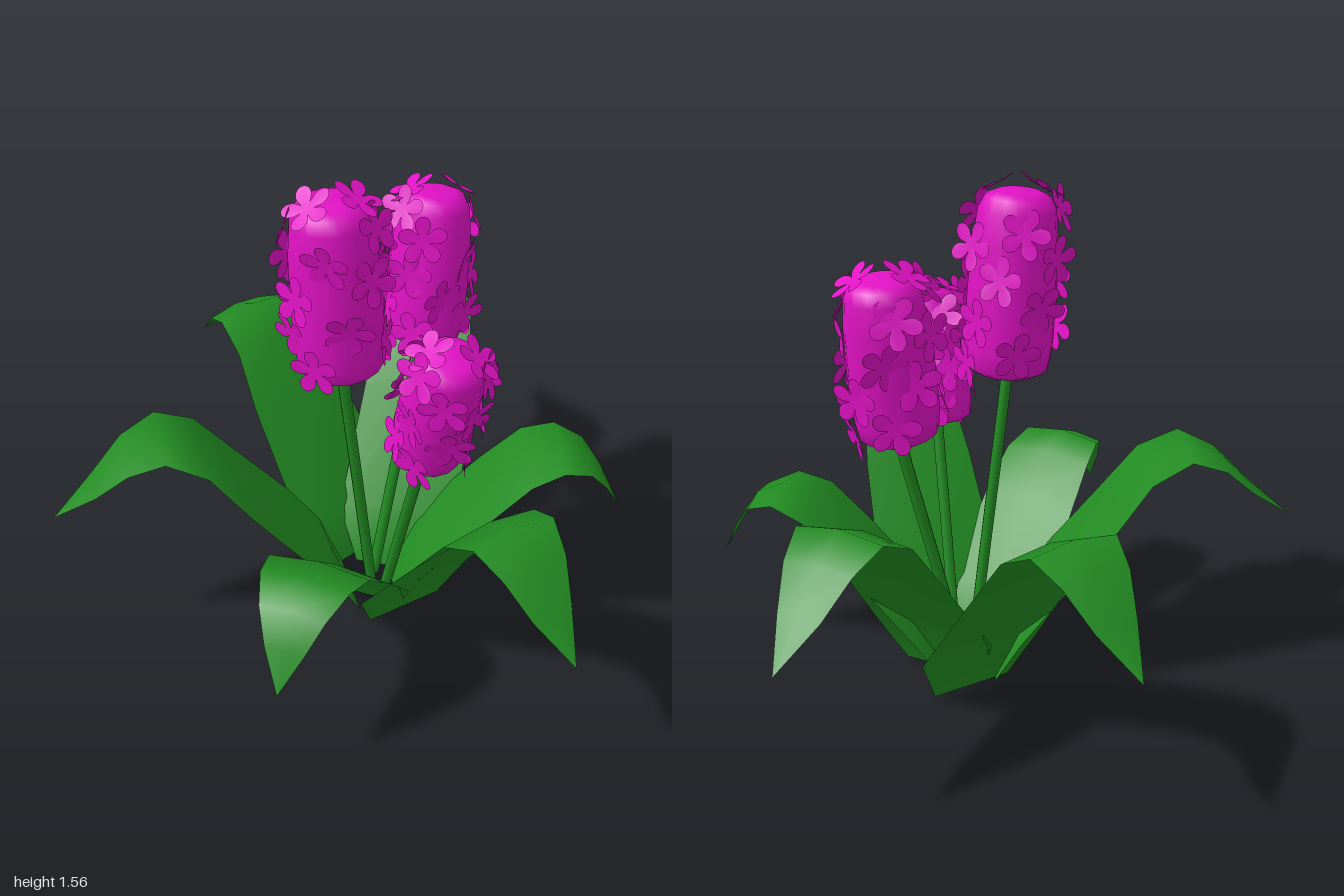
import * as THREE from 'three';

const V = (x, y, z) => new THREE.Vector3(x, y, z);
const mat = (color) => new THREE.MeshStandardMaterial({ color, side: THREE.DoubleSide });
const green = mat(0x228b22);
const magenta = mat(0xe012c4);

// Leaf cross-sections: [distance from the base, height, half width]
const TALL = [[0, 0, 0.13], [0.07, 0.2, 0.205], [0.34, 0.54, 0.18], [0.46, 0.7, 0.155],
  [0.58, 0.76, 0.135], [0.69, 0.71, 0.105], [0.79, 0.61, 0.065], [0.92, 0.5, 0]];
const SHORT = [[0, 0, 0.11], [0.08, 0.18, 0.17], [0.29, 0.42, 0.165], [0.41, 0.545, 0.155],
  [0.51, 0.58, 0.135], [0.6, 0.54, 0.1], [0.66, 0.45, 0.06], [0.72, 0.325, 0]];

// Ribbon with slightly drooping edges, from the base (bx, bz) to the tip (tx, tz)
function leaf(sections, bx, bz, tx, tz) {
  const dx = tx - bx, dz = tz - bz, length = Math.hypot(dx, dz);
  const ux = dx / length, uz = dz / length;
  const scale = length / sections[sections.length - 1][0];
  const pos = [], idx = [];
  sections.forEach(([r, y, w], i) => {
    const d = r * scale;
    for (const s of [-1, 0, 1]) {
      const droop = i > 0 ? 0.15 * w * Math.abs(s) : 0;
      pos.push(bx + ux * d - uz * w * s, y - droop, bz + uz * d + ux * w * s);
    }
    if (i === 0) return;
    for (const c of [0, 1]) {
      const a = (i - 1) * 3 + c, b = a + 3;
      idx.push(a, a + 1, b + 1);
      if (w > 0) idx.push(a, b + 1, b);
    }
  });
  const geo = new THREE.BufferGeometry();
  geo.setAttribute('position', new THREE.Float32BufferAttribute(pos, 3));
  geo.setIndex(idx);
  geo.computeVertexNormals();
  const mesh = new THREE.Mesh(geo, green);
  mesh.name = 'leaf';
  return mesh;
}

// Five-petalled floret in the xy plane, slightly cupped towards +z
function floretGeometry() {
  const pos = [0, 0, 0], idx = [], n = 60;
  for (let i = 0; i < n; i++) {
    const a = i / n * Math.PI * 2;
    const r = 0.022 + 0.053 * Math.pow(Math.abs(Math.cos(2.5 * a)), 0.6);
    pos.push(Math.cos(a) * r, Math.sin(a) * r, r * r * 1.2);
    idx.push(0, i + 1, (i + 1) % n + 1);
  }
  const geo = new THREE.BufferGeometry();
  geo.setAttribute('position', new THREE.Float32BufferAttribute(pos, 3));
  geo.setIndex(idx);
  geo.computeVertexNormals();
  return geo;
}

function seeded(seed) {
  return () => (seed = (seed * 16807) % 2147483647) / 2147483647;
}

// Stem, rounded spike and the florets spiralling over it
function flower(root, bottom, top, radius, seed, floretGeo) {
  const group = new THREE.Group();
  group.name = 'flower';
  const axis = top.clone().sub(bottom), h = axis.length();
  const inner = bottom.clone().addScaledVector(axis, 0.1);
  const curve = new THREE.CatmullRomCurve3([root, root.clone().lerp(bottom, 0.5), bottom, inner]);
  const stem = new THREE.Mesh(new THREE.TubeGeometry(curve, 12, 0.018, 8), green);
  stem.name = 'stem';

  const head = new THREE.Group();
  head.name = 'flowerHead';
  head.position.copy(bottom);
  head.quaternion.setFromUnitVectors(V(0, 1, 0), axis.normalize());
  const profile = [[0, 0], [0.75, 0.01], [0.95, 0.04], [1.02, 0.16], [1.02, 0.45], [0.97, 0.72],
    [0.88, 0.9], [0.74, 0.97], [0.5, 0.995], [0, 1]]
    .map(([r, y]) => new THREE.Vector2(r * radius, y * h));
  const spike = new THREE.Mesh(new THREE.LatheGeometry(profile, 16), magenta);
  spike.name = 'spike';
  head.add(spike);

  const rand = seeded(seed);
  const addFloret = (position, facing) => {
    const floret = new THREE.Mesh(floretGeo, magenta);
    floret.name = 'floret';
    floret.position.copy(position);
    floret.quaternion.setFromUnitVectors(V(0, 0, 1), facing.normalize());
    floret.rotateZ(rand() * 6.28);
    head.add(floret);
  };
  // Side florets
  const count = 18;
  for (let i = 0; i < count; i++) {
    const t = (i + 0.5) / count, a = i * 2.39996 + rand() * 0.4;
    const out = radius * (t > 0.85 ? 0.93 : 1.02) + 0.004;
    const turn = a + (rand() - 0.5) * 0.9;
    addFloret(V(Math.cos(a) * out, h * (0.05 + 0.89 * t), Math.sin(a) * out),
      V(Math.cos(turn), t > 0.85 ? 0.4 : (rand() - 0.5) * 0.4, Math.sin(turn)));
  }
  // Crown florets
  for (let i = 0; i < 2; i++) {
    const a = i * 2.8 + rand();
    addFloret(V(Math.cos(a) * radius * 0.6, h + 0.004, Math.sin(a) * radius * 0.6),
      V(Math.cos(a) * 0.6, 1, Math.sin(a) * 0.6));
  }
  group.add(stem, head);
  return group;
}

export function createModel() {
  const model = new THREE.Group();
  model.name = 'floweringPlant';

  // Four tall leaves and two short ones
  const leaves = new THREE.Group();
  leaves.name = 'leaves';
  leaves.add(
    leaf(TALL, 0.08, 0.165, 0, 1),
    leaf(TALL, 0.125, -0.14, 0.035, -1),
    leaf(TALL, 0.165, -0.005, 0.86, -0.59),
    leaf(TALL, 0, -0.03, -0.86, -0.37),
    leaf(SHORT, 0.13, 0.035, 0.73, 0.46),
    leaf(SHORT, 0.015, 0.055, -0.62, 0.48),
  );
  model.add(leaves);

  const floretGeo = floretGeometry();
  model.add(
    flower(V(0.06, 0, 0.01), V(-0.07, 0.96, 0.03), V(-0.1, 1.51, 0.02), 0.13, 11, floretGeo),
    flower(V(0.1, 0, -0.03), V(0.32, 0.86, -0.08), V(0.37, 1.34, -0.105), 0.122, 57, floretGeo),
    flower(V(0.1, 0, 0.04), V(0.065, 0.73, 0.26), V(0.055, 1.14, 0.375), 0.112, 91, floretGeo),
  );
  return model;
}
